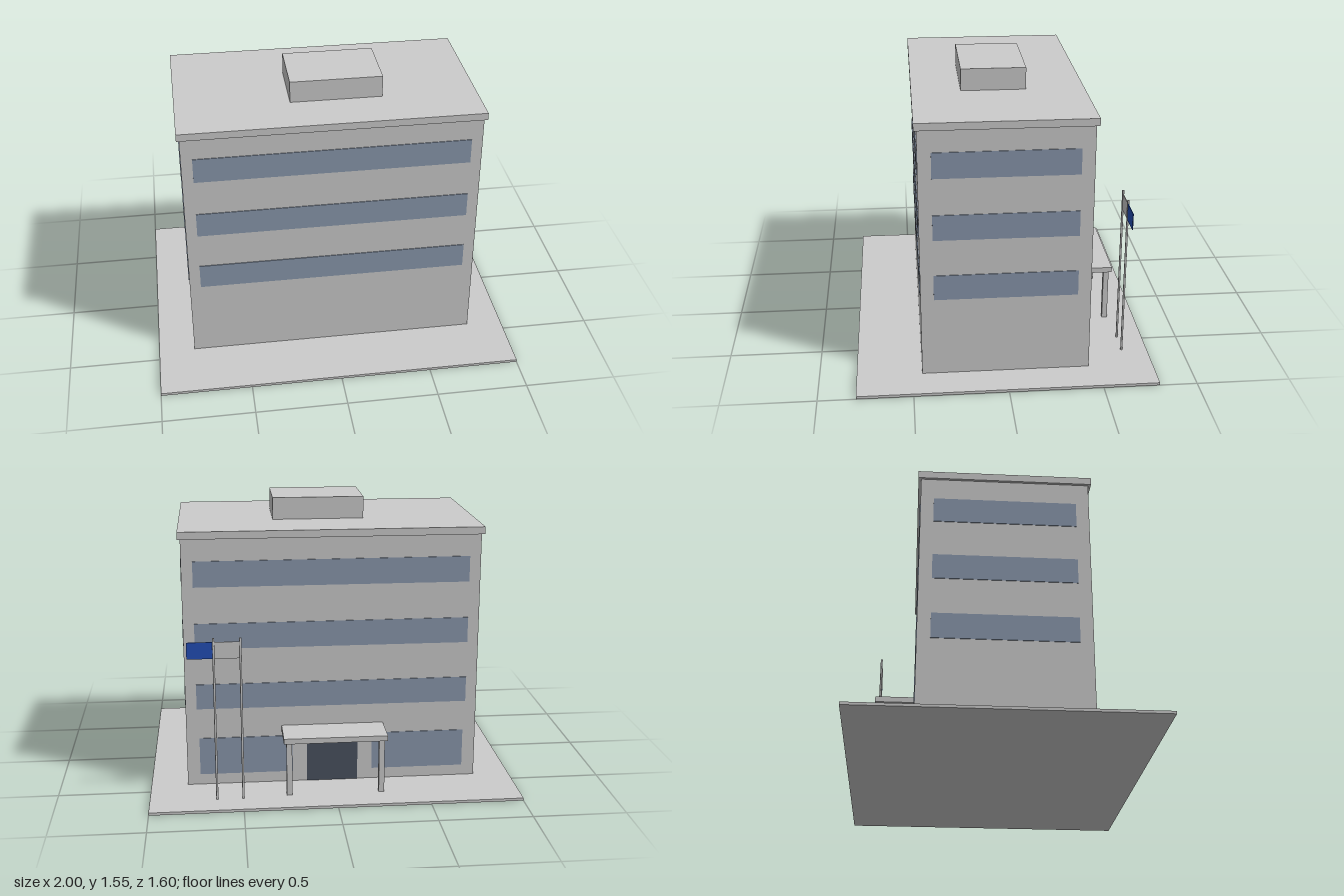
import * as THREE from 'three';

const grey = new THREE.MeshStandardMaterial({ color: 0xcccccc });
const glass = new THREE.MeshStandardMaterial({ color: 0x8a98ad });
const doorDark = new THREE.MeshStandardMaterial({ color: 0x4a5260 });
const blue = new THREE.MeshStandardMaterial({ color: 0x2450b8 });

export function createModel() {
  const model = new THREE.Group();

  // Box given by its min and max on each axis
  function box(name, [x0, x1], [y0, y1], [z0, z1], material = grey) {
    const mesh = new THREE.Mesh(new THREE.BoxGeometry(x1 - x0, y1 - y0, z1 - z0), material);
    mesh.position.set((x0 + x1) / 2, (y0 + y1) / 2, (z0 + z1) / 2);
    mesh.name = name;
    model.add(mesh);
  }

  // Main masses
  box('groundSlab', [-1, 1], [0, 0.015], [-0.8, 0.8]);
  box('buildingBody', [-0.8, 0.8], [0.015, 1.4], [-0.45, 0.45]);
  box('roofSlab', [-0.815, 0.815], [1.395, 1.435], [-0.465, 0.465]);
  box('roofPlantRoom', [-0.2, 0.3], [1.435, 1.555], [-0.15, 0.2]);

  // Window bands on all four walls of the upper floors
  const out = 0.004;
  for (const y of [0.455, 0.795, 1.135]) {
    for (const s of [-1, 1]) {
      const z = s * 0.45, x = s * 0.8;
      box('longWindowBand', [-0.74, 0.74], [y, y + 0.14], [z - out, z + out], glass);
      box('sideWindowBand', [x - out, x + out], [y, y + 0.14], [-0.38, 0.38], glass);
    }
  }

  // Entrance on the back wall
  const wall = [-0.45 - out, -0.45 + out];
  box('entranceDoor', [-0.14, 0.14], [0.015, 0.255], wall, doorDark);
  box('canopy', [-0.28, 0.28], [0.315, 0.345], [-0.66, -0.45]);
  for (const s of [-1, 1]) {
    const c = s * 0.475, p = s * 0.25;
    box('groundFloorWindow', [c - 0.255, c + 0.255], [0.075, 0.285], wall, glass);
    box('canopyColumn', [p - 0.015, p + 0.015], [0.015, 0.315], [-0.645, -0.615]);
  }

  // Flagpoles, each with a flag to its +x side
  for (const [x, material] of [[0.5, grey], [0.64, blue]]) {
    const pole = new THREE.Mesh(new THREE.CylinderGeometry(0.006, 0.006, 0.9, 12), grey);
    pole.position.set(x, 0.465, -0.66);
    pole.name = 'flagpole';
    model.add(pole);
    box('flag', [x, x + 0.14], [0.805, 0.895], [-0.662, -0.658], material);
  }

  return model;
}
